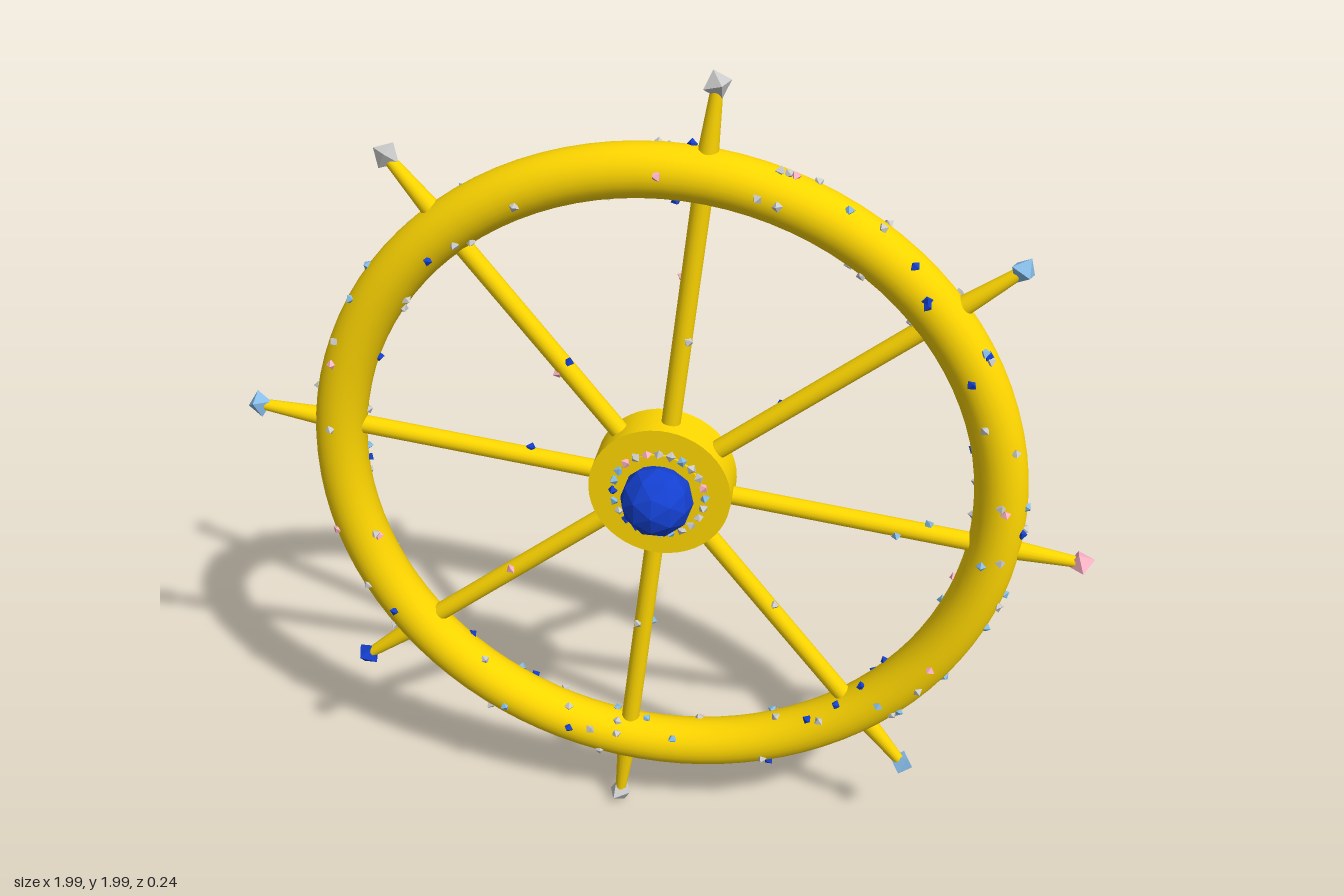
import * as THREE from 'three';

const mat = (color, flatShading = false) => new THREE.MeshStandardMaterial({ color, flatShading });
const gold = mat(0xffd700);
const grey = mat(0xcccccc, true);
const blue = mat(0x1440d0, true);
const sky = mat(0x87bde8, true);
const pink = mat(0xffb6c8, true);

const RING = 0.772, TUBE = 0.06, HUB = 0.166, HUB_DEPTH = 0.1;
const tipMats = [pink, sky, grey, grey, sky, blue, grey, sky];
const studMats = [grey, grey, sky, blue, grey, pink, sky, grey, blue];

// Small seeded generator for the scattered studs
let seed = 7;
const rnd = () => (seed = (seed * 16807) % 2147483647) / 2147483647;

function add(parent, name, geometry, material) {
  const mesh = new THREE.Mesh(geometry, material);
  mesh.name = name;
  parent.add(mesh);
  return mesh;
}

const studGeometry = new THREE.OctahedronGeometry(0.013);
function stud(parent, name, x, y, z) {
  const m = add(parent, name, studGeometry, studMats[Math.floor(rnd() * studMats.length)]);
  m.position.set(x, y, z);
  m.rotation.set(rnd() * 3, rnd() * 3, rnd() * 3);
}

// Tapered rod lying along +x between two radii
function rod(parent, name, from, to, rFrom, rTo) {
  const m = add(parent, name, new THREE.CylinderGeometry(rTo, rFrom, to - from, 16), gold);
  m.rotation.z = -Math.PI / 2;
  m.position.x = (from + to) / 2;
}

export function createModel() {
  const model = new THREE.Group();
  model.name = 'jewelledWheel';
  const wheel = new THREE.Group();
  wheel.name = 'wheel';
  wheel.position.set(-0.005, 1.007, -0.042);
  model.add(wheel);

  // Rim
  add(wheel, 'rim', new THREE.TorusGeometry(RING, TUBE, 24, 96), gold);

  // Hub drum, with a slightly raised disc on both faces
  const drum = add(wheel, 'hub', new THREE.CylinderGeometry(HUB, HUB, HUB_DEPTH, 48), gold);
  drum.rotation.x = Math.PI / 2;
  const disc = add(wheel, 'hubDisc', new THREE.CylinderGeometry(0.105, 0.105, HUB_DEPTH + 0.014, 48), gold);
  disc.rotation.x = Math.PI / 2;

  // Large faceted centre gem on the front
  const gem = add(wheel, 'centreGem', new THREE.IcosahedronGeometry(0.085, 1), blue);
  gem.position.z = 0.08;

  // Spokes, handles and tip gems
  for (let i = 0; i < 8; i++) {
    const arm = new THREE.Group();
    arm.name = 'spokeArm';
    arm.rotation.z = THREE.MathUtils.degToRad(-6.6 + i * 45);
    wheel.add(arm);
    rod(arm, 'spoke', 0.12, RING, 0.022, 0.022);
    rod(arm, 'handle', RING, 0.965, 0.026, 0.013);
    const tip = add(arm, 'tipGem', new THREE.OctahedronGeometry(0.032), tipMats[i]);
    tip.position.x = 0.972;
    tip.rotation.set(0.4, 0.25, 0.35);
    // A few studs on each spoke
    for (let k = 0; k < 2; k++) {
      const a = rnd() * Math.PI * 2;
      stud(arm, 'spokeStud', 0.25 + rnd() * 0.4, 0.022 * Math.cos(a), 0.022 * Math.sin(a));
    }
  }

  // Studs scattered over the rim
  for (let i = 0; i < 150; i++) {
    const a = rnd() * Math.PI * 2, b = rnd() * Math.PI * 2;
    const r = RING + TUBE * Math.cos(b);
    stud(wheel, 'rimStud', r * Math.cos(a), r * Math.sin(a), TUBE * Math.sin(b));
  }

  // Stud circles on both faces of the hub
  for (const side of [1, -1]) {
    for (let i = 0; i < 24; i++) {
      const a = (i / 24) * Math.PI * 2;
      stud(wheel, 'hubStud', 0.107 * Math.cos(a), 0.107 * Math.sin(a), side * (HUB_DEPTH / 2 + 0.005));
    }
  }
  return model;
}
